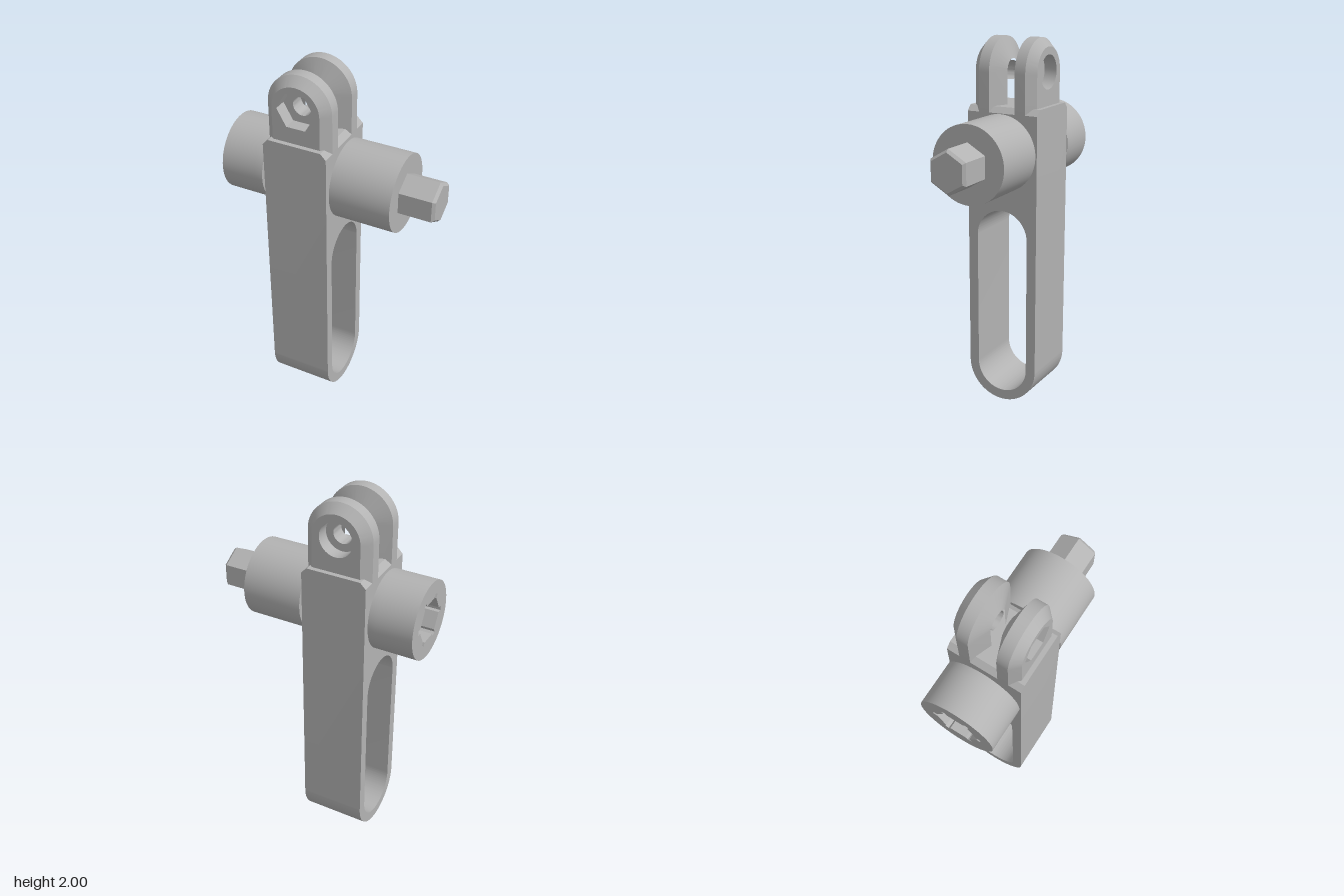
import * as THREE from 'three';
import { toCreasedNormals } from 'three/addons/utils/BufferGeometryUtils.js';

const grey = new THREE.MeshStandardMaterial({ color: 0xb2b2b2 });
grey.name = 'grey';

const BODY_X0 = -0.315, BODY_X1 = 0.035, BODY_R = 0.205;
const MID_X = (BODY_X0 + BODY_X1) / 2;
const AXLE_Y = 1.415, LUG_Y = 1.825, LEDGE_Y = 1.62, TOP_Y = 1.65;

function add(parent, name, geometry) {
  const mesh = new THREE.Mesh(toCreasedNormals(geometry, 0.4), grey);
  mesh.name = name;
  parent.add(mesh);
  return mesh;
}

const polygon = (r, n) => Array.from({ length: n }, (_, i) => {
  const a = (i / n) * Math.PI * 2;
  return new THREE.Vector2(r * Math.cos(a), r * Math.sin(a));
});

// Walls through matching outlines; falling z turns the walls inwards
function loft(layers, closed = true) {
  const pos = [];
  for (let l = 0; l + 1 < layers.length; l++) {
    const [p, z0] = layers[l], [q, z1] = layers[l + 1];
    for (let i = 0; i < p.length - (closed ? 0 : 1); i++) {
      const j = (i + 1) % p.length;
      pos.push(p[i].x, p[i].y, z0, p[j].x, p[j].y, z0, q[j].x, q[j].y, z1);
      pos.push(p[i].x, p[i].y, z0, q[j].x, q[j].y, z1, q[i].x, q[i].y, z1);
    }
  }
  const g = new THREE.BufferGeometry();
  g.setAttribute('position', new THREE.Float32BufferAttribute(pos, 3));
  return g;
}

function plate(outline, hole, z, facingBack = false) {
  const shape = new THREE.Shape(outline);
  shape.holes.push(new THREE.Path(hole));
  const g = new THREE.ShapeGeometry(shape);
  if (facingBack) g.scale(-1, 1, 1).rotateY(Math.PI).scale(-1, 1, 1).rotateY(0);
  if (facingBack) {
    // reverse the corner order so the plate faces -z
    const ix = g.index.array;
    for (let i = 0; i < ix.length; i += 3) [ix[i], ix[i + 1]] = [ix[i + 1], ix[i]];
  }
  return g.translate(0, 0, z);
}

// Shape drawn in (z, y), extruded along x from x0 to x1
function extrudeX(shape, x0, x1) {
  return new THREE.ExtrudeGeometry(shape, { depth: x1 - x0, bevelEnabled: false, curveSegments: 40 })
    .rotateY(Math.PI / 2).translate(x0, 0, 0);
}

// Cylinder or prism along x, from radius r0 at x0 to r1 at x1
function rod(x0, x1, r0, r1 = r0, sides = 64) {
  return new THREE.CylinderGeometry(r1, r0, x1 - x0, sides, 1, false, Math.PI / 2)
    .rotateZ(-Math.PI / 2).translate((x0 + x1) / 2, AXLE_Y, 0);
}

function slottedBody(group) {
  const s = new THREE.Shape();
  s.moveTo(BODY_R, LEDGE_Y);
  s.lineTo(-BODY_R, LEDGE_Y);
  s.lineTo(-BODY_R, BODY_R);
  s.absarc(0, BODY_R, BODY_R, Math.PI, Math.PI * 2, false);
  const slot = new THREE.Path();
  slot.absarc(0, 0.95, 0.15, 0, Math.PI, false);
  slot.absarc(0, 0.205, 0.15, Math.PI, Math.PI * 2, false);
  s.holes.push(slot);
  add(group, 'slottedBody', extrudeX(s, BODY_X0, BODY_X1));

  // Chamfered top
  const c = LEDGE_Y, b = TOP_Y - LEDGE_Y;
  const cap = new THREE.Shape([
    new THREE.Vector2(BODY_X0, c), new THREE.Vector2(BODY_X1, c),
    new THREE.Vector2(BODY_X1 - b, TOP_Y), new THREE.Vector2(BODY_X0 + b, TOP_Y),
  ]);
  add(group, 'bodyTop', new THREE.ExtrudeGeometry(cap, { depth: BODY_R * 2, bevelEnabled: false })
    .translate(0, 0, -BODY_R));
}

// Round-topped lug with bevelled rims, a bore and a recess of the given sides
function lug(name, recessRadius, sides) {
  const g = new THREE.Group();
  g.name = name;
  g.position.set(MID_X, LUG_Y, 0);
  const arch = (r) => {
    const pts = [new THREE.Vector2(r, LEDGE_Y - LUG_Y)];
    for (let i = 0; i <= 40; i++) {
      const a = (i / 40) * Math.PI;
      pts.push(new THREE.Vector2(r * Math.cos(a), r * Math.sin(a)));
    }
    pts.push(new THREE.Vector2(-r, LEDGE_Y - LUG_Y));
    return pts;
  };
  const inner = 0.03, outer = 0.18, floor = 0.11;
  const bore = polygon(0.05, 40), recess = polygon(recessRadius, sides);
  add(g, 'lugRim', loft([[arch(0.06), inner], [arch(0.175), 0.075],
    [arch(0.175), 0.135], [arch(0.13), outer]], false));
  add(g, 'lugOuterFace', plate(arch(0.13), recess, outer));
  add(g, 'lugInnerFace', plate(arch(0.06), bore, inner, true));
  add(g, 'recessWall', loft([[recess, outer], [recess, floor]]));
  add(g, 'recessFloor', plate(recess, bore, floor));
  add(g, 'boreWall', loft([[bore, floor], [bore, inner]]));
  return g;
}

function axle(group) {
  add(group, 'rightNeck', rod(-0.34, -0.3, 0.147));
  add(group, 'leftNeck', rod(0.02, 0.06, 0.147));
  add(group, 'leftDrum', rod(0.05, 0.375, BODY_R));
  add(group, 'hexPlug', rod(0.37, 0.55, 0.115, 0.115, 6));
  add(group, 'hexPlugChamfer', rod(0.55, 0.565, 0.115, 0.1, 6));

  // Drum with a hexagonal socket that has relieved corners
  const socket = [];
  for (let k = 0; k < 6; k++) {
    for (const [r, d] of [[0.113, -0.12], [0.135, -0.1], [0.135, 0.1], [0.113, 0.12]]) {
      const a = k * Math.PI / 3 + d;
      socket.push(new THREE.Vector2(r * Math.cos(a), r * Math.sin(a)));
    }
  }
  const ring = new THREE.Shape(polygon(BODY_R, 64));
  ring.holes.push(new THREE.Path(socket));
  add(group, 'socketDrum', extrudeX(ring, -0.565, -0.375).translate(0, AXLE_Y, 0));
  add(group, 'socketDrumBase', rod(-0.375, -0.33, BODY_R));
}

export function createModel() {
  const model = new THREE.Group();
  model.name = 'slottedLinkWithAxle';
  slottedBody(model);
  axle(model);
  const front = lug('frontLug', 0.103, 6);
  const back = lug('backLug', 0.09, 40);
  back.rotation.y = Math.PI;
  model.add(front, back);
  return model;
}
